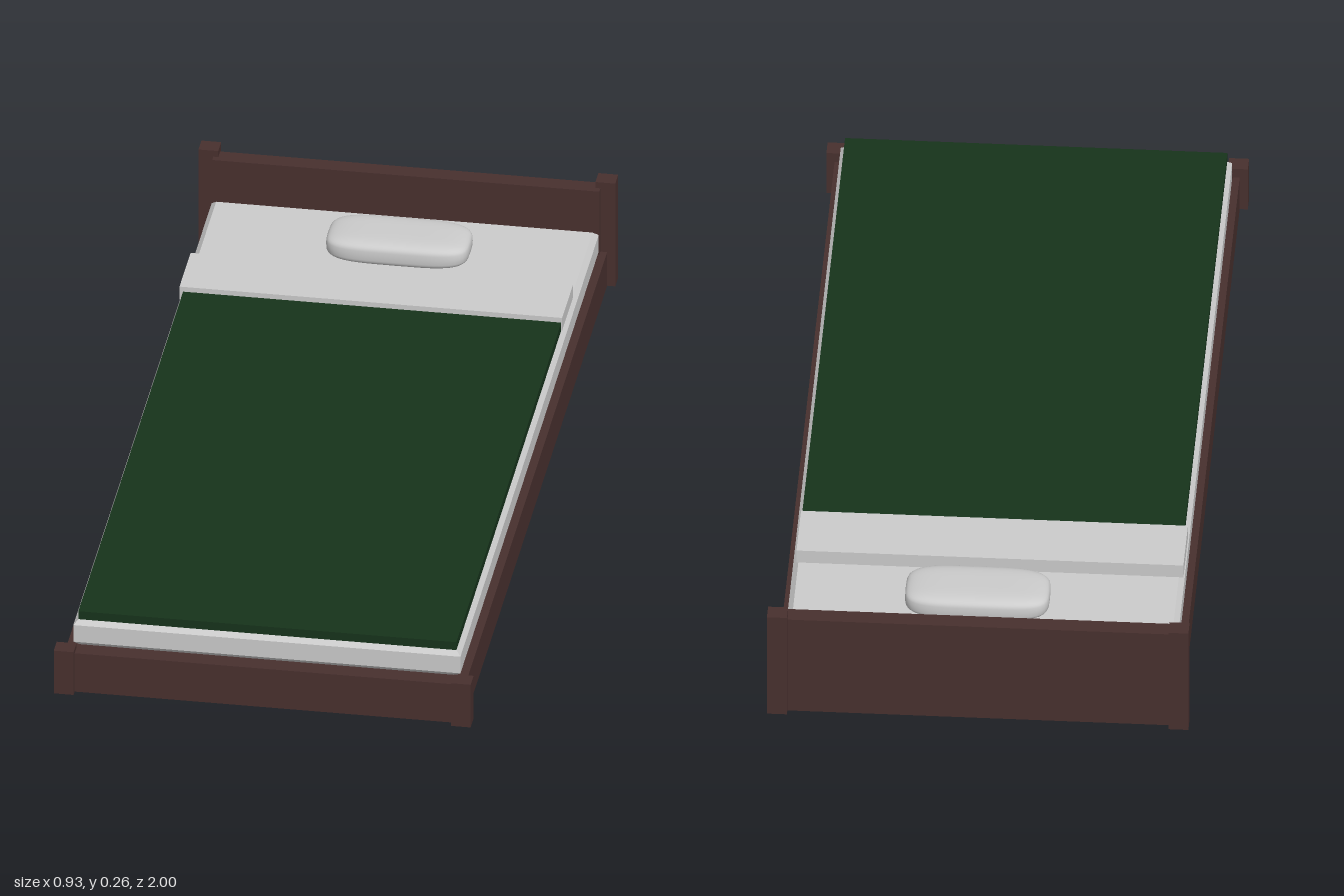
import * as THREE from 'three';

const wood = new THREE.MeshStandardMaterial({ color: 0x48302e });
const green = new THREE.MeshStandardMaterial({ color: 0x16331b });
const linen = new THREE.MeshStandardMaterial({ color: 0xcccccc });

export function createModel() {
  const bed = new THREE.Group();
  bed.name = 'bed';

  const add = (name, geometry, material) => {
    const mesh = new THREE.Mesh(geometry, material);
    mesh.name = name;
    bed.add(mesh);
    return mesh;
  };
  // box given by its limits on each axis
  const box = (name, material, [x0, x1], [y0, y1], [z0, z1]) =>
    add(name, new THREE.BoxGeometry(x1 - x0, y1 - y0, z1 - z0), material)
      .position.set((x0 + x1) / 2, (y0 + y1) / 2, (z0 + z1) / 2);

  // solid base with low side walls
  box('base', wood, [-0.445, 0.445], [0, 0.085], [-0.965, 0.965]);

  // end boards and their corner posts
  box('headboard', wood, [-0.43, 0.43], [0, 0.245], [-0.985, -0.945]);
  box('footboard', wood, [-0.43, 0.43], [0, 0.097], [0.945, 0.985]);
  for (const [side, s] of [['left', 1], ['right', -1]]) {
    const span = [s * 0.441 - 0.022, s * 0.441 + 0.022];
    box(side + 'HeadPost', wood, span, [0, 0.26], [-1, -0.96]);
    box(side + 'FootPost', wood, span, [0, 0.108], [0.96, 1]);
  }

  // mattress with chamfered top and bottom edges
  const c = 0.012, w = 0.43 - c, l = 0.937 - c;
  const outline = new THREE.Shape([[-w, -l], [w, -l], [w, l], [-w, l]]
    .map(([x, y]) => new THREE.Vector2(x, y)));
  const mattress = new THREE.ExtrudeGeometry(outline, {
    depth: 0.042, bevelThickness: c, bevelSize: c, bevelSegments: 1,
  });
  mattress.rotateX(-Math.PI / 2).translate(0, 0.086 + c, 0);
  add('mattress', mattress, linen);

  // blanket and its turned-down sheet
  box('blanket', green, [-0.42, 0.42], [0.152, 0.172], [-0.5, 0.93]);
  box('foldedSheet', linen, [-0.428, 0.422], [0.152, 0.184], [-0.64, -0.49]);

  // pillow: a sphere squared off into a superellipsoid
  const pillow = new THREE.SphereGeometry(1, 40, 24);
  const p = pillow.attributes.position, n = pillow.attributes.normal;
  const half = new THREE.Vector3(0.159, 0.029, 0.076);
  const pow = (v, e) => (Math.abs(v) < 1e-9 ? 0 : Math.sign(v) * Math.abs(v) ** e);
  const e = 0.5, normal = new THREE.Vector3();
  for (let i = 0; i < p.count; i++) {
    const x = p.getX(i), y = p.getY(i), z = p.getZ(i);
    const r = Math.hypot(x, z), k = r < 1e-9 ? 0 : 1 / r;
    const ring = pow(r, e);
    p.setXYZ(i, half.x * ring * pow(x * k, e), half.y * pow(y, e), half.z * ring * pow(z * k, e));
    const rn = pow(r, 2 - e);
    normal.set(rn * pow(x * k, 2 - e), pow(y, 2 - e), rn * pow(z * k, 2 - e)).divide(half).normalize();
    n.setXYZ(i, normal.x, normal.y, normal.z);
  }
  add('pillow', pillow, linen).position.set(0.015, 0.181, -0.768);

  return bed;
}
